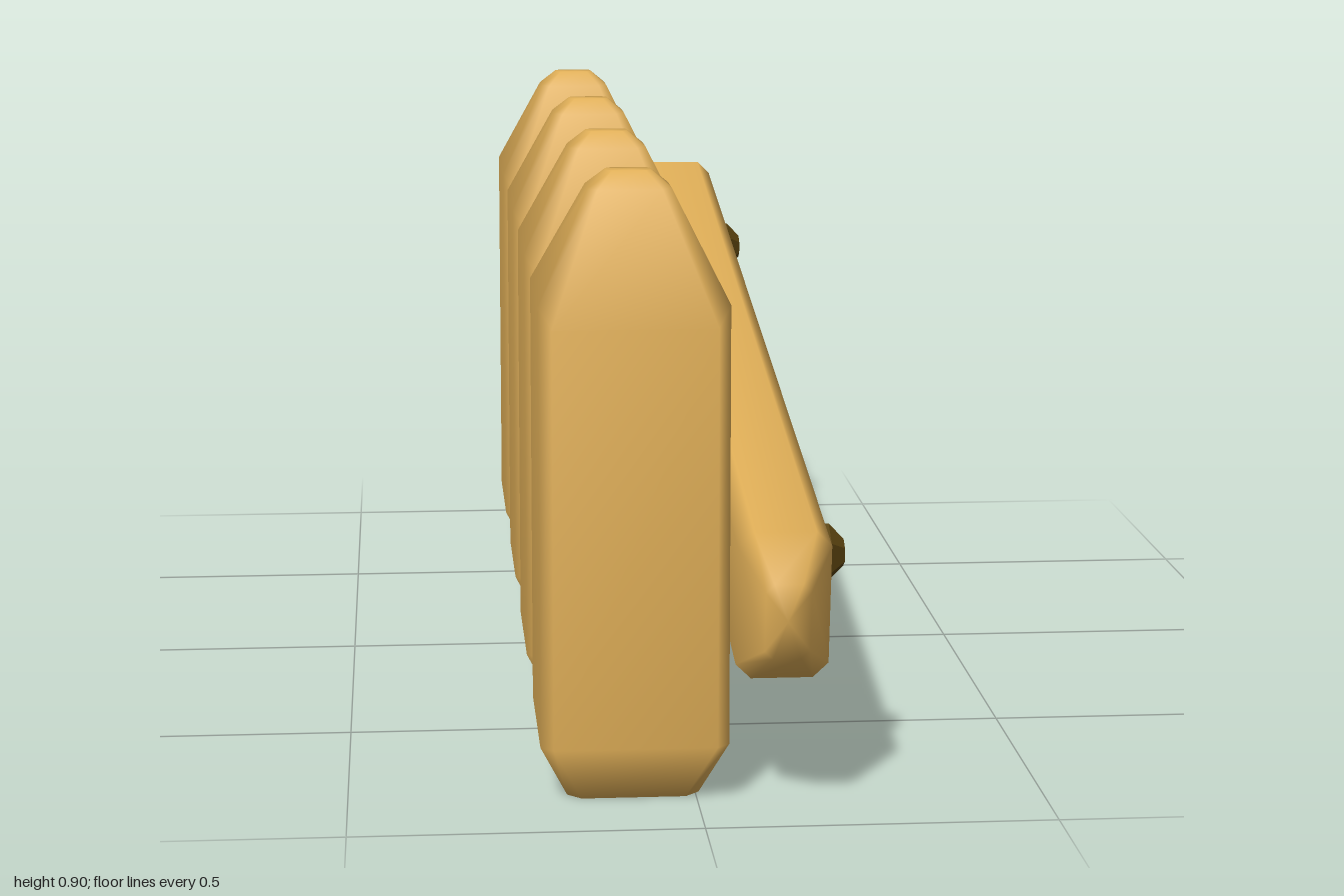
import * as THREE from 'three';

// Smooth closed loft along +y; every ring is a list of [x, y, z] corners.
function loft(rings) {
  const n = rings[0].length, pos = rings.flat(2), idx = [];
  const last = rings.length - 1;
  for (let i = 0; i < last; i++) {
    for (let j = 0; j < n; j++) {
      const a = i * n + j, b = i * n + (j + 1) % n;
      idx.push(a, a + n, b, b, a + n, b + n);
    }
  }
  const base = rings.length * n;
  pos.push(0, rings[0][0][1], 0, 0, rings[last][0][1], 0);
  for (let j = 0; j < n; j++) {
    const k = (j + 1) % n;
    idx.push(base, j, k, base + 1, last * n + k, last * n + j);
  }
  const g = new THREE.BufferGeometry();
  g.setAttribute('position', new THREE.Float32BufferAttribute(pos, 3));
  g.setIndex(idx);
  g.computeVertexNormals();
  return g;
}

// Rectangle with cut corners; the z-facing sides may sit at their own height yz.
function ring(y, hx, hz, cut, yz = y) {
  const c = cut, q = [
    [hx, y, hz - c], [hx - c, yz, hz], [-hx + c, yz, hz], [-hx, y, hz - c],
  ];
  return [...q, ...q.map(([x, h, z]) => [-x, h, -z])];
}

export function createModel() {
  const model = new THREE.Group();
  model.name = 'fence';
  const wood = new THREE.MeshStandardMaterial({ color: 0xdfae57 });
  wood.name = 'wood';
  const iron = new THREE.MeshStandardMaterial({ color: 0x5a430f });
  iron.name = 'darkBolt';

  // Pointed posts
  const postGeo = loft([
    ring(0, 0.095, 0.106, 0.02),
    ring(0.085, 0.135, 0.15, 0.018),
    ring(0.72, 0.135, 0.15, 0.018, 0.69),
    ring(0.872, 0.06, 0.046, 0.014),
    ring(0.896, 0.032, 0.02, 0.008),
  ]);
  [0.747, 0.25, -0.25, -0.743].forEach((z, i) => {
    const post = new THREE.Mesh(postGeo, wood);
    post.name = 'post' + (i + 1);
    post.position.set(-0.09, 0, z);
    model.add(post);
  });

  // Sloping rail with tapered ends
  const railGeo = loft([
    ring(-1.004, 0.032, 0.056, 0.012),
    ring(-0.946, 0.066, 0.111, 0.022),
    ring(0.946, 0.066, 0.111, 0.022),
    ring(1.004, 0.032, 0.056, 0.012),
  ]).rotateX(Math.PI / 2);
  const rail = new THREE.Mesh(railGeo, wood);
  rail.name = 'rail';
  rail.position.set(0.115, 0.447, 0);
  rail.rotation.x = 0.154;
  model.add(rail);

  // Six-sided bolt heads
  const profile = [[0.043, 0], [0.043, 0.042], [0.02, 0.064], [0, 0.064]]
    .map(([r, y]) => new THREE.Vector2(r, y));
  const boltGeo = new THREE.LatheGeometry(profile, 6, Math.PI / 2)
    .rotateZ(-Math.PI / 2).toNonIndexed();
  boltGeo.computeVertexNormals();
  [[0.333, 0.755], [0.56, -0.76]].forEach(([y, z], i) => {
    const bolt = new THREE.Mesh(boltGeo, iron);
    bolt.name = 'bolt' + (i + 1);
    bolt.position.set(0.159, y, z);
    model.add(bolt);
  });

  return model;
}
